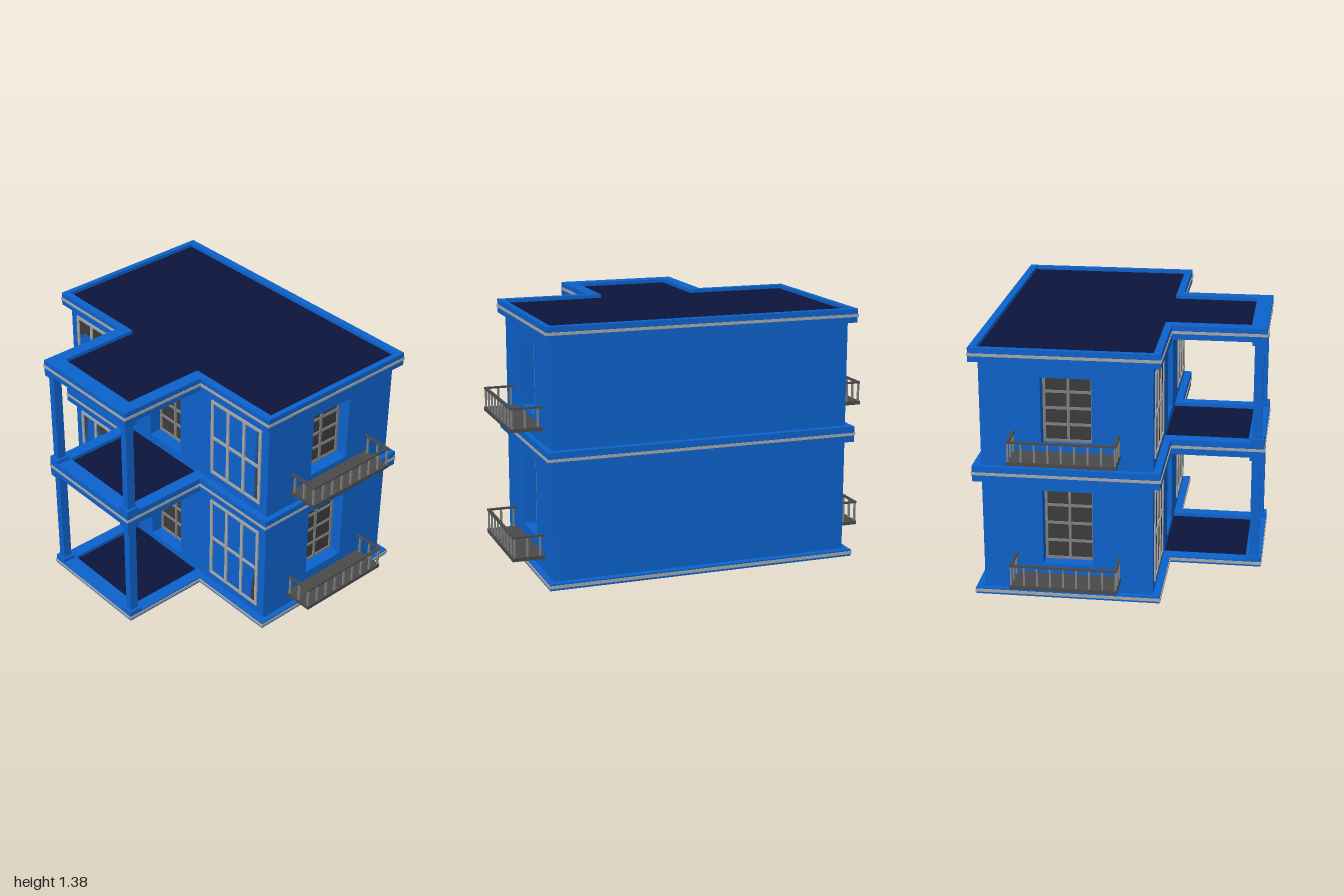
import * as THREE from 'three';

const mat = (color, side = THREE.FrontSide) => new THREE.MeshStandardMaterial({ color, side });
const BLUE = mat(0x0c62cc), NAVY = mat(0x0c143c), TRIM = mat(0xa8a8a8);
const FRAME = mat(0x808080), GLASS = mat(0x3c3c3c), IRON = mat(0x4a4a4a);

function add(parent, name, geometry, material) {
  const mesh = new THREE.Mesh(geometry, material);
  mesh.name = name;
  parent.add(mesh);
  return mesh;
}

// Box given by its minimum and maximum corners
function box(parent, name, material, x0, x1, y0, y1, z0, z1) {
  const mesh = add(parent, name, new THREE.BoxGeometry(x1 - x0, y1 - y0, z1 - z0), material);
  mesh.position.set((x0 + x1) / 2, (y0 + y1) / 2, (z0 + z1) / 2);
  return mesh;
}

const rect = (C, x0, x1, y0, y1) => new C([
  new THREE.Vector2(x0, y0), new THREE.Vector2(x1, y0),
  new THREE.Vector2(x1, y1), new THREE.Vector2(x0, y1)]);

// T-shaped plan: main block plus the front porch
const plan = (C, hw, back, front, pw, porch) => new C([
  [-hw, -back], [-hw, -front], [-pw, -front], [-pw, -porch],
  [pw, -porch], [pw, -front], [hw, -front], [hw, -back],
].map(([x, y]) => new THREE.Vector2(x, y)));
const outer = (C, d = 0) => plan(C, 0.86 + d, -0.75 - d, 0.24 + d, 0.34 + d, 0.748 + d);
const inner = (C) => plan(C, 0.83, -0.71, 0.2, 0.27, 0.66);

function layer(parent, name, material, shape, hole, y0, y1) {
  if (hole) shape.holes.push(hole);
  const geo = new THREE.ExtrudeGeometry(shape, { depth: y1 - y0, bevelEnabled: false });
  geo.rotateX(-Math.PI / 2);
  add(parent, name, geo, material).position.y = y0;
}

// Slab with raised rim, dark sunken deck and a pale band round the edge
function slab(parent, name, y0, y1, s0, s1) {
  const g = new THREE.Group();
  g.name = name;
  parent.add(g);
  layer(g, 'rim', BLUE, outer(THREE.Shape), inner(THREE.Path), y0, y1);
  layer(g, 'slabCore', BLUE, inner(THREE.Shape), null, y0, y1 - 0.025);
  layer(g, 'deck', NAVY, inner(THREE.Shape), null, y1 - 0.025, y1 - 0.02);
  layer(g, 'edgeBand', TRIM, outer(THREE.Shape, 0.004), outer(THREE.Path, -0.002), s0, s1);
}

// Framed pane divided into cols x rows, its front at z
function windowUnit(parent, name, material, x0, x1, y0, y1, z, cols, rows, bar) {
  const g = new THREE.Group();
  g.name = name;
  parent.add(g);
  box(g, 'glass', GLASS, x0, x1, y0, y1, z - 0.02, z - 0.008);
  for (let i = 0; i <= cols; i++) {
    const x = x0 + (x1 - x0 - bar) * i / cols;
    box(g, 'upright', material, x, x + bar, y0, y1, z - 0.02, z);
  }
  for (let j = 0; j <= rows; j++) {
    const y = y0 + (y1 - y0 - bar) * j / rows;
    box(g, 'crossbar', material, x0, x1, y, y + bar, z - 0.02, z - 0.001);
  }
}

// Wall with rectangular openings; its outer face is at z
function wall(parent, name, halfWidth, openings, z) {
  const shape = rect(THREE.Shape, -halfWidth, halfWidth, 0.02, 1.32);
  for (const o of openings) shape.holes.push(rect(THREE.Path, ...o));
  const geo = new THREE.ExtrudeGeometry(shape, { depth: 0.1, bevelEnabled: false });
  add(parent, name, geo, BLUE).position.z = z - 0.1;
}

// Balcony on the wall plane z = 0.825: floor plate, balusters and handrail
function balcony(parent, y, top) {
  const g = new THREE.Group();
  g.name = 'balcony';
  parent.add(g);
  const w = 0.283, r = 0.005, z1 = 0.99;
  box(g, 'balconyFloor', IRON, -w, w, y, y + 0.02, 0.82, 1);
  const post = (x, z) => box(g, 'baluster', FRAME, x - r, x + r, y + 0.02, top - 0.005, z - r, z + r);
  for (let i = 0; i <= 8; i++) post(-0.276 + 0.069 * i, z1);
  box(g, 'frontRail', IRON, -w, w, top - 0.01, top, z1 - 0.008, z1 + 0.008);
  for (const x of [-0.276, 0.276]) {
    for (const z of [0.85, 0.92]) post(x, z);
    box(g, 'sideRail', IRON, x - 0.007, x + 0.007, top - 0.01, top, 0.82, z1);
  }
}

export function createModel() {
  const model = new THREE.Group();
  model.name = 'house';

  slab(model, 'baseSlab', 0, 0.035, 0.011, 0.027);
  slab(model, 'middleSlab', 0.648, 0.733, 0.684, 0.699);
  slab(model, 'roofSlab', 1.303, 1.378, 1.334, 1.349);

  // Front wall: recessed doors in the middle, large windows on both sides
  const front = new THREE.Group();
  front.name = 'front';
  model.add(front);
  const doors = [[-0.13, 0.13, 0.06, 0.507], [-0.13, 0.13, 0.765, 1.167]];
  wall(front, 'frontWall', 0.725, doors, 0.2);
  for (const d of doors) windowUnit(front, 'door', FRAME, ...d, 0.13, 2, 4, 0.014);
  for (const x of [-0.58, 0.58]) {
    for (const [y0, y1] of [[0.085, 0.6], [0.785, 1.253]])
      windowUnit(front, 'frontWindow', TRIM, x - 0.193, x + 0.193, y0, y1, 0.208, 3, 2, 0.017);
  }

  box(model, 'backWall', BLUE, -0.725, 0.725, 0.02, 1.32, -0.705, -0.605);

  // Side walls with recessed windows and balconies
  const holes = [[-0.133, 0.133, 0.18, 0.598], [-0.133, 0.133, 0.85, 1.222]];
  for (const s of [-1, 1]) {
    const side = new THREE.Group();
    side.name = s > 0 ? 'leftSide' : 'rightSide';
    side.position.z = -0.2525;
    side.rotation.y = s * Math.PI / 2;
    model.add(side);
    wall(side, 'sideWall', 0.4525, holes, 0.825);
    for (const h of holes) windowUnit(side, 'sideWindow', FRAME, ...h, 0.755, 2, 4, 0.014);
    balcony(side, 0.105, 0.24);
    balcony(side, 0.8, 0.93);
  }

  // Porch columns with foot and head blocks
  for (const x of [-0.305, 0.305]) {
    for (const [y0, y1] of [[0.015, 0.648], [0.713, 1.303]]) {
      const g = new THREE.Group();
      g.name = 'porchColumn';
      model.add(g);
      const foot = y0 < 0.1 ? 0.057 : 0.754;
      box(g, 'shaft', BLUE, x - 0.02, x + 0.02, y0, y1, 0.682, 0.732);
      box(g, 'foot', BLUE, x - 0.035, x + 0.035, y0, foot, 0.67, 0.747);
      box(g, 'head', BLUE, x - 0.035, x + 0.035, y1 - 0.02, y1, 0.67, 0.747);
    }
  }
  return model;
}
